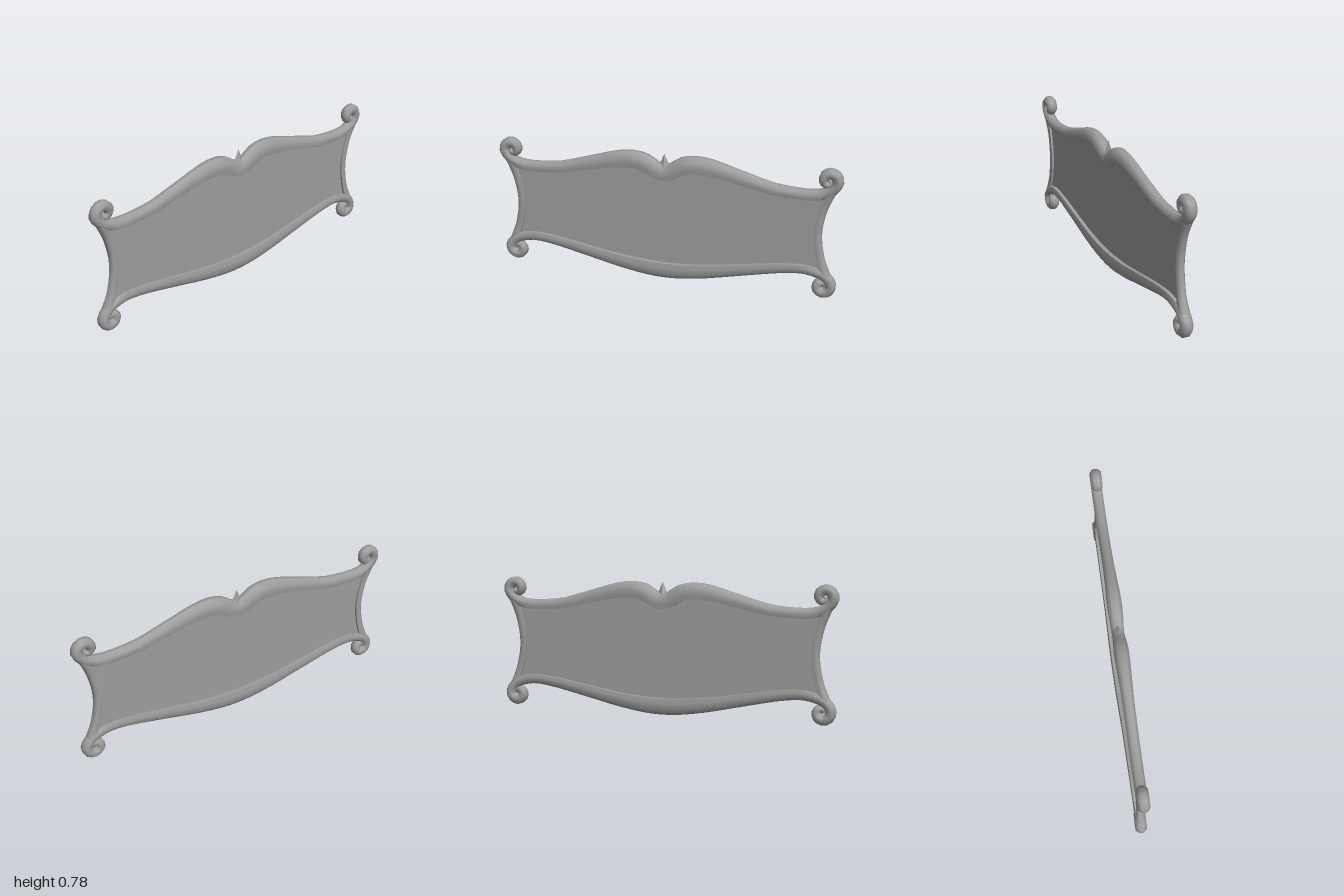
import * as THREE from 'three';
import { toCreasedNormals } from 'three/addons/utils/BufferGeometryUtils.js';

// Half profiles, from the centre out to the tip of the scroll:
// [x, y, half width, half depth, step] where step 1 squares off the edge next to the panel
const scroll = [
  [0.905, 0.636, 0.028, 0.031, 0.5], [0.945, 0.660, 0.029, 0.032, 0], [0.970, 0.700, 0.030, 0.032, 0],
  [0.958, 0.738, 0.030, 0.032, 0], [0.925, 0.751, 0.029, 0.032, 0], [0.897, 0.735, 0.028, 0.031, 0],
  [0.892, 0.708, 0.026, 0.030, 0], [0.906, 0.688, 0.022, 0.027, 0], [0.927, 0.694, 0.017, 0.022, 0],
  [0.930, 0.710, 0.012, 0.018, 0],
];
const topHalf = [
  [0.05, 0.675, 0.044, 0.036, 1], [0.11, 0.711, 0.046, 0.040, 1], [0.18, 0.724, 0.046, 0.040, 1],
  [0.27, 0.717, 0.044, 0.036, 1], [0.39, 0.689, 0.038, 0.032, 1], [0.50, 0.661, 0.034, 0.031, 1],
  [0.62, 0.632, 0.030, 0.031, 1], [0.76, 0.620, 0.028, 0.031, 1], [0.85, 0.622, 0.028, 0.031, 1],
  ...scroll,
];
const bottomHalf = [
  [0.10, 0.056, 0.047, 0.035, 1], [0.25, 0.074, 0.042, 0.033, 1], [0.40, 0.102, 0.037, 0.031, 1],
  [0.60, 0.142, 0.032, 0.031, 1], [0.72, 0.162, 0.029, 0.031, 1], [0.82, 0.168, 0.028, 0.031, 1],
  ...scroll.map(([x, y, ...size]) => [x, 0.785 - y, ...size]),
];
const sideRail = [
  [0.940, 0.140, 0.024, 0.030, 1], [0.926, 0.175, 0.023, 0.026, 1], [0.905, 0.235, 0.022, 0.022, 1],
  [0.886, 0.320, 0.022, 0.022, 1], [0.880, 0.392, 0.022, 0.022, 1], [0.886, 0.465, 0.022, 0.022, 1],
  [0.905, 0.550, 0.022, 0.022, 1], [0.926, 0.610, 0.023, 0.026, 1], [0.940, 0.645, 0.024, 0.030, 1],
];

// Octagonal section, counter-clockwise around the path: [across, depth]
const C = Math.SQRT2 - 1;
const section = [[1, -C], [1, C], [C, 1], [-C, 1], [-1, C], [-1, -C], [-C, -1], [C, -1]];

const mirrorX = (pts) => pts.map(([x, ...rest]) => [-x, ...rest]).reverse();
const spline = (pts) => new THREE.CatmullRomCurve3(pts, false, 'catmullrom', 0.5);

// Sweeps the section along a flat path; innerSide tells which side (+1 left, -1 right) meets the panel
function sweep(pts, innerSide, stepsPerSpan) {
  const path = spline(pts.map(([x, y]) => new THREE.Vector3(x, y, 0)));
  const size = spline(pts.map(([, , w, d, step]) => new THREE.Vector3(w, d, step)));
  const steps = (pts.length - 1) * stepsPerSpan, sides = section.length;
  const pos = [], index = [];
  for (let i = 0; i <= steps; i++) {
    const t = i / steps;
    const p = path.getPoint(t), s = size.getPoint(t), tan = path.getTangent(t);
    for (const [across, depth] of section) {
      const edge = across === innerSide ? THREE.MathUtils.lerp(C, 0.88, s.z) / C : 1;
      const u = across * s.x;
      pos.push(p.x - tan.y * u, p.y + tan.x * u, depth * edge * s.y);
    }
  }
  for (let i = 0; i < steps; i++) {
    for (let j = 0; j < sides; j++) {
      const a = i * sides + j, b = i * sides + ((j + 1) % sides);
      index.push(a, b, a + sides, b, b + sides, a + sides);
    }
  }
  // End caps
  const first = pos.length / 3, last = steps * sides;
  for (const t of [0, 1]) pos.push(...path.getPoint(t).toArray());
  for (let j = 0; j < sides; j++) {
    const n = (j + 1) % sides;
    index.push(first, n, j, first + 1, last + j, last + n);
  }
  const geo = new THREE.BufferGeometry();
  geo.setAttribute('position', new THREE.Float32BufferAttribute(pos, 3));
  geo.setIndex(index);
  return toCreasedNormals(geo, 1.15);
}

export function createModel() {
  const group = new THREE.Group();
  const material = new THREE.MeshStandardMaterial({ color: 0x9d9d9d });
  const add = (name, geometry) => {
    const mesh = new THREE.Mesh(geometry, material);
    mesh.name = name;
    group.add(mesh);
    return mesh;
  };

  // Top and bottom rails, each ending in a scroll on both sides
  const top = [...mirrorX(topHalf), [0, 0.661, 0.044, 0.033, 1], ...topHalf];
  const bottom = [...mirrorX(bottomHalf), [0, 0.052, 0.048, 0.035, 1], ...bottomHalf];
  add('topRail', sweep(top, -1, 2));
  add('bottomRail', sweep(bottom, 1, 2));

  // Thin inward-curving side rails
  add('leftSideRail', sweep(sideRail, 1, 2));
  add('rightSideRail', sweep(mirrorX(sideRail), 1, 2));

  // Pointed four-sided tip in the dip of the top rail
  const tip = add('crestTip', toCreasedNormals(new THREE.ConeGeometry(0.045, 0.1, 4), 0.5));
  tip.position.set(0, 0.72, 0);
  tip.scale.z = 0.7;

  // Flat panel reaching to the middle of the rails
  const outline = (pts) => spline(pts.map(([x, y]) => new THREE.Vector3(x, y, 0))).getPoints(60)
    .map((p) => new THREE.Vector2(p.x, p.y));
  const inner = (pts) => pts.filter(([x]) => Math.abs(x) < 0.86);
  const shape = new THREE.Shape([
    ...outline(inner(bottom)),
    ...outline(sideRail),
    ...outline(inner(top)).reverse(),
    ...outline(mirrorX(sideRail)),
  ]);
  const panel = add('panel', new THREE.ExtrudeGeometry(shape, { depth: 0.014, bevelEnabled: false }));
  panel.position.z = -0.007;

  return group;
}
